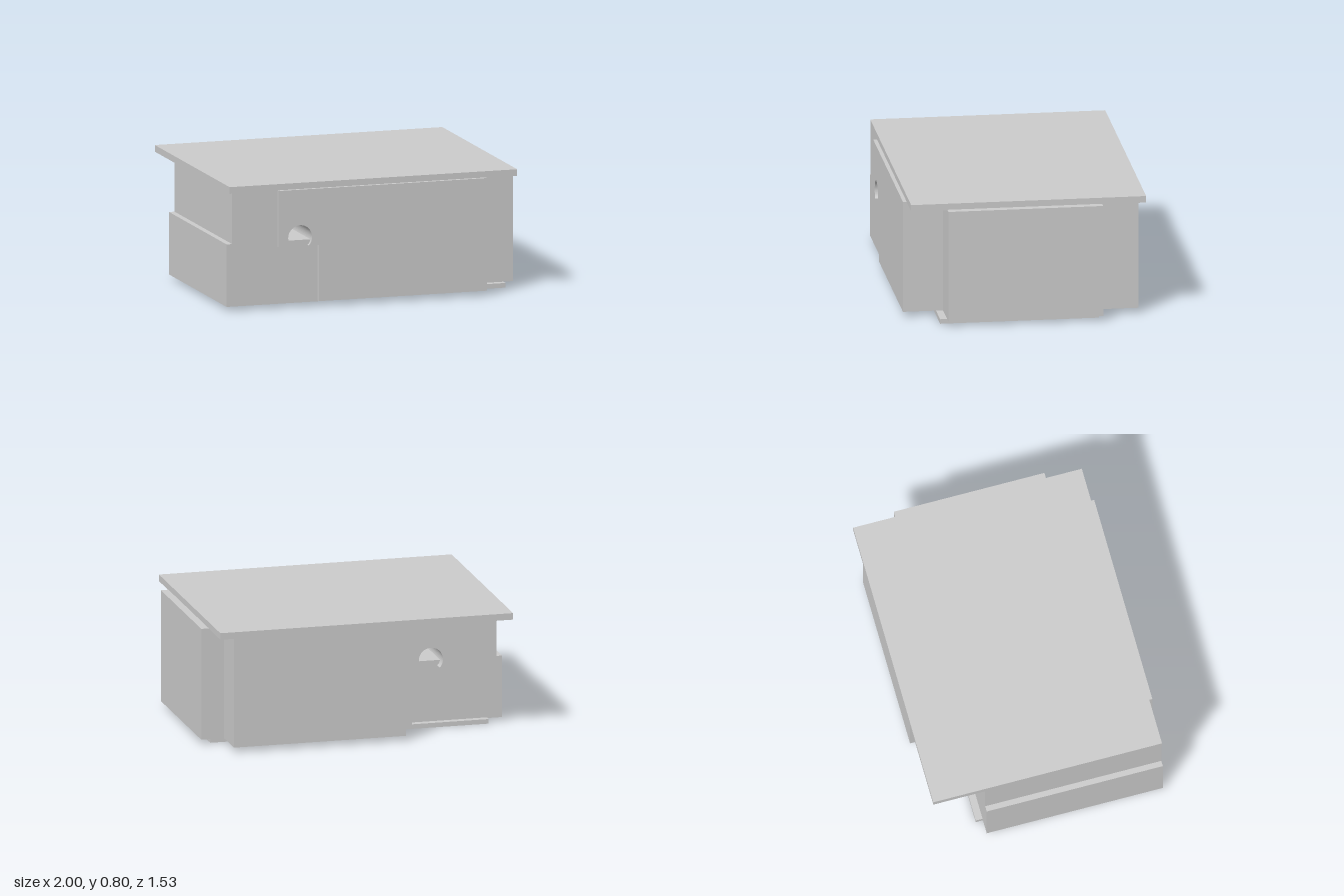
import * as THREE from 'three';

const material = new THREE.MeshStandardMaterial({ color: 0xcccccc, flatShading: true });

// Block given by its limits along each axis
function block(name, [x0, x1], [y0, y1], [z0, z1]) {
  const mesh = new THREE.Mesh(new THREE.BoxGeometry(x1 - x0, y1 - y0, z1 - z0), material);
  mesh.position.set((x0 + x1) / 2, (y0 + y1) / 2, (z0 + z1) / 2);
  mesh.name = name;
  return mesh;
}

// Outline in x/y carried along z
function prism(name, shape, [z0, z1]) {
  const geometry = new THREE.ExtrudeGeometry(shape, { depth: z1 - z0, bevelEnabled: false, curveSegments: 24 });
  geometry.translate(0, 0, z0);
  const mesh = new THREE.Mesh(geometry, material);
  mesh.name = name;
  return mesh;
}

export function createModel() {
  const group = new THREE.Group();
  group.name = 'interlockingBox';

  // Front block: upper tab hooks over the side ledge, with a round channel open below
  const tabY = 0.395, holeX = -0.515, holeY = 0.45, r = 0.08;
  const a = Math.asin((holeY - tabY) / r);
  const outline = new THREE.Shape();
  outline.moveTo(-0.66, tabY);
  outline.lineTo(holeX - r * Math.cos(a), tabY);
  outline.absarc(holeX, holeY, r, Math.PI + a, -a, true);
  outline.lineTo(-0.39, tabY);
  outline.lineTo(-0.39, 0.03);
  outline.lineTo(0.74, 0.03);
  outline.lineTo(0.74, 0.76);
  outline.lineTo(-0.66, 0.76);
  outline.closePath();

  group.add(
    prism('frontBlock', outline, [-0.48, 0.767]),
    block('lid', [-0.98, 0.95], [0.757, 0.8], [-0.767, 0.743]),
    block('basePlate', [-0.9, 0.935], [0, 0.03], [-0.465, 0.555]),
    block('leftBlock', [0.7, 1], [0.03, 0.76], [-0.485, 0.51]),
    block('backBlock', [-0.285, 0.85], [0.03, 0.76], [-0.73, -0.45]),
    // Right side: wide lower ledge with a slightly narrower upper wall
    block('rightLedge', [-1, -0.34], [0.025, 0.43], [-0.42, 0.743]),
    block('rightUpperWall', [-0.963, -0.655], [0.42, 0.76], [-0.42, 0.743]),
  );
  return group;
}
